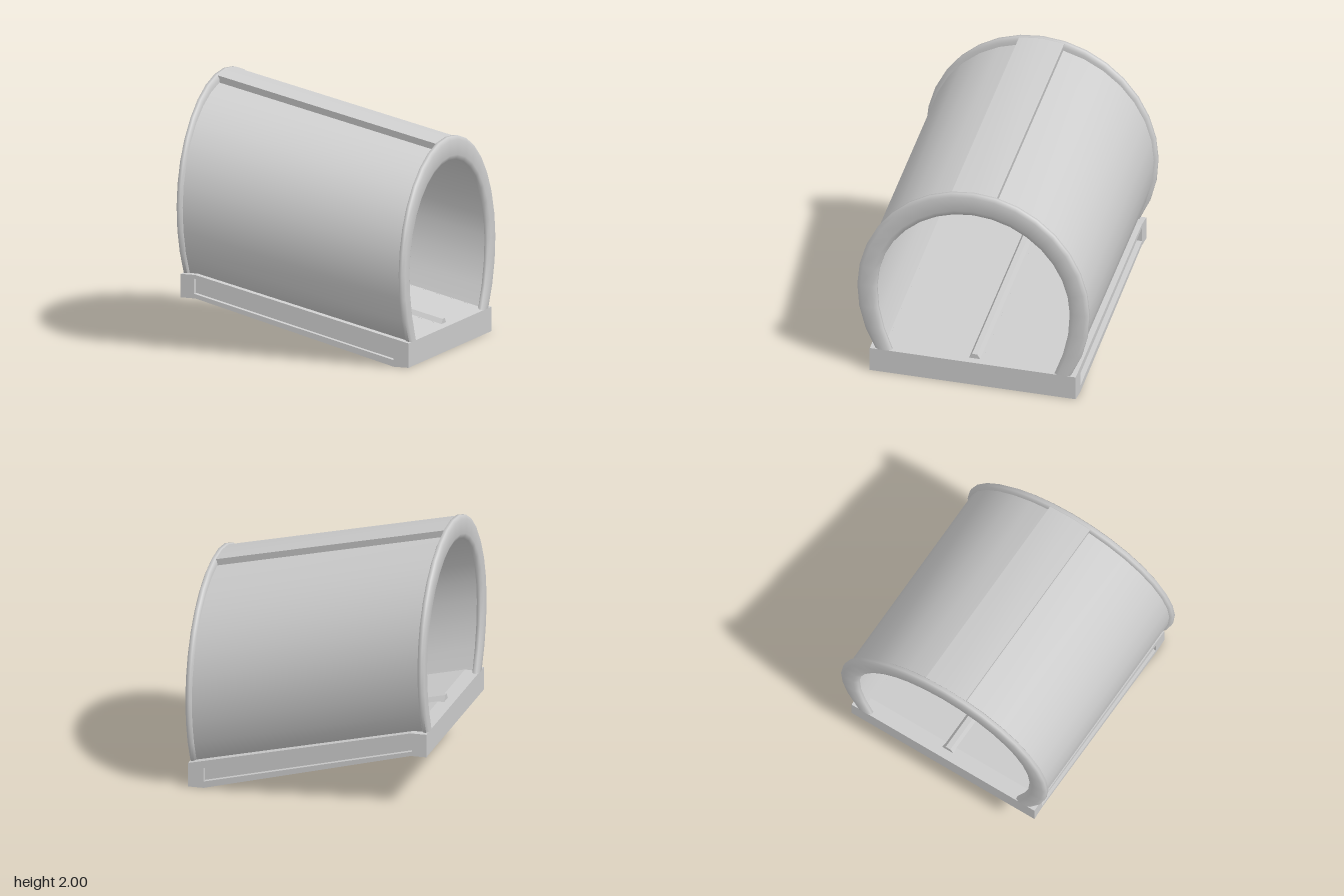
import * as THREE from 'three';
import { toCreasedNormals } from 'three/addons/utils/BufferGeometryUtils.js';

const STEP = Math.PI / 16;           // arch facet
const FOOT = 0.572;                  // angle by which the arch continues below its centre
const mat = new THREE.MeshStandardMaterial({ color: 0xcccccc });

// height of the tunnel's centre line: falls towards +x, level inside the end rings
const axisY = x => 0.70 + 0.39 * (0.5 - THREE.MathUtils.clamp(x, -0.88, 0.88) / 1.76);

function add(group, name, geometry) {
  const mesh = new THREE.Mesh(geometry, mat);
  mesh.name = name;
  group.add(mesh);
  return mesh;
}

// sweep a convex section of [x, half width, height] (counter-clockwise in x, width) along the arch
function archSweep(section, a0, a1, n) {
  const pos = [], idx = [], m = section.length;
  for (let i = 0; i <= n; i++) {
    const a = a0 + (a1 - a0) * i / n, s = Math.sin(a);
    for (const [x, rx, ry] of section) {
      const h = s < 0 ? rx * 0.2 + 0.77 : ry;
      pos.push(x, axisY(x) + h * s, rx * Math.cos(a));
    }
  }
  // feet are cut level
  const level = i => {
    for (let j = 0; j < m; j++) pos[(i * m + j) * 3 + 1] = axisY(section[j][0]) - 0.515;
  };
  if (a0 < 0) level(0);
  if (a1 > Math.PI) level(n);
  for (let i = 0; i < n; i++) for (let j = 0; j < m; j++) {
    const a = i * m + j, b = i * m + (j + 1) % m, c = a + m, d = b + m;
    idx.push(a, c, b, b, c, d);
  }
  for (let j = 1; j < m - 1; j++) {
    idx.push(0, j, j + 1, n * m, n * m + j + 1, n * m + j);
  }
  const g = new THREE.BufferGeometry();
  g.setAttribute('position', new THREE.Float32BufferAttribute(pos, 3));
  g.setIndex(idx);
  return toCreasedNormals(g, 1.25);
}

const plate = (x0, x1, outer, inner) => [
  [x0, ...inner], [x1, ...inner], [x1, ...outer], [x0, ...outer],
];

// extrude an x-y outline between two z positions
function slab(points, z0, z1, hole) {
  const shape = new THREE.Shape(points.map(p => new THREE.Vector2(...p)));
  if (hole) shape.holes.push(new THREE.Path(hole.map(p => new THREE.Vector2(...p))));
  const g = new THREE.ExtrudeGeometry(shape, { depth: z1 - z0, bevelEnabled: false });
  return g.translate(0, 0, z0);
}

export function createModel() {
  const model = new THREE.Group();
  model.name = 'slopedTunnel';

  // end rings with softened edges
  for (const side of [-1, 1]) {
    const c = side * 0.896, t = 0.026, k = 0.012;
    add(model, side > 0 ? 'lowerRing' : 'upperRing', archSweep([
      [c - k, 0.75, 0.73], [c + k, 0.75, 0.73], [c + t, 0.785, 0.765], [c + t, 0.87, 0.88],
      [c + k, 0.9, 0.91], [c - k, 0.9, 0.91], [c - t, 0.87, 0.88], [c - t, 0.785, 0.765],
    ], -FOOT, Math.PI + FOOT, 22));
  }

  // curved side panels
  const skin = plate(-0.88, 0.88, [0.873, 0.85], [0.83, 0.805]);
  add(model, 'leftPanel', archSweep(skin, -FOOT, 7 * STEP, 10));
  add(model, 'rightPanel', archSweep(skin, 9 * STEP, Math.PI + FOOT, 10));

  // ridge beam joining the rings
  add(model, 'ridgeBeam',
    archSweep(plate(-0.88, 0.88, [0.9, 0.903], [0.82, 0.79]), 7 * STEP, 9 * STEP, 2));

  // base frame: wedge-ended side rails with a long groove, centre beam and end beams
  const rail = [[-0.92, 0.4], [-0.8, 0.4], [0.8, 0], [0.92, 0], [0.92, 0.185], [-0.8, 0.578], [-0.92, 0.578]];
  const groove = [[-0.81, 0.435], [-0.81, 0.55], [0.8, 0.155], [0.8, 0.05]];
  const base = new THREE.Group();
  base.name = 'base';
  model.add(base);
  for (const side of [-1, 1]) {
    const inner = side > 0 ? [0.69, 0.76] : [-0.76, -0.69];
    const outer = side > 0 ? [0.76, 0.8] : [-0.8, -0.76];
    add(base, 'sideRail', slab(rail, ...inner));
    add(base, 'sideRailLip', slab(rail, ...outer, groove));
  }
  add(base, 'centreBeam', slab(rail, -0.06, 0.06));
  add(base, 'upperEndBeam',
    slab([[-0.92, 0.4], [-0.8, 0.4], [-0.8, 0.578], [-0.92, 0.578]], -0.69, 0.69));
  add(base, 'lowerEndBeam',
    slab([[0.8, 0], [0.92, 0], [0.92, 0.185], [0.8, 0.212]], -0.69, 0.69));

  // floor, recessed from below
  add(base, 'floor',
    slab([[-0.8, 0.49], [0.8, 0.125], [0.8, 0.212], [-0.8, 0.578]], -0.69, 0.69));

  // low chamfered rib along the middle of the floor
  const rib = slab([[-0.05, -0.01], [0.05, -0.01], [0.02, 0.035], [-0.02, 0.035]], -0.85, 0.87);
  rib.rotateY(Math.PI / 2);
  const p = rib.attributes.position;
  for (let i = 0; i < p.count; i++) {
    p.setY(i, p.getY(i) + 0.185 + (0.92 - p.getX(i)) * 0.2285);
  }
  rib.computeVertexNormals();
  add(base, 'floorRib', rib);

  return model;
}
